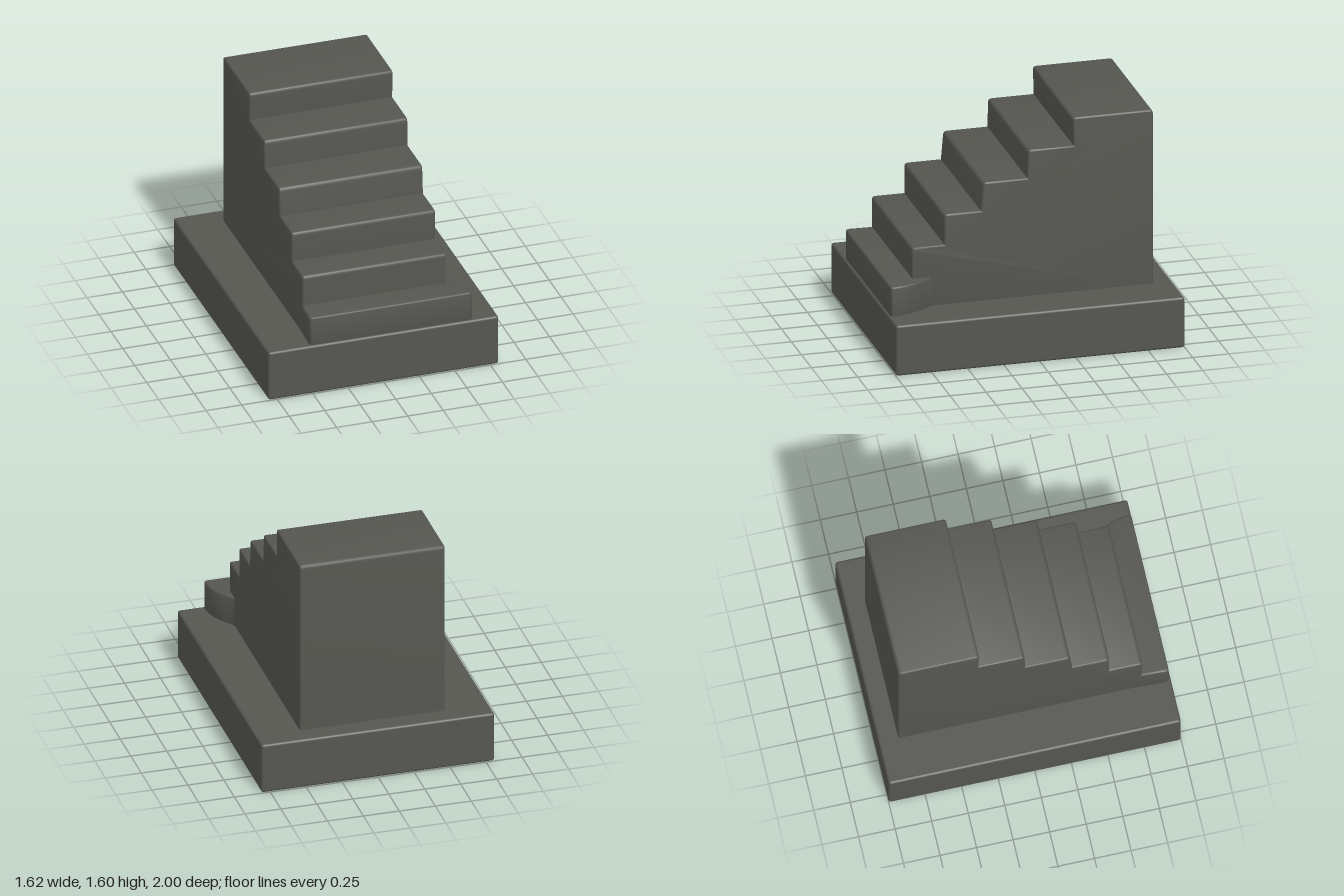
import * as THREE from 'three';
import { toCreasedNormals } from 'three/addons/utils/BufferGeometryUtils.js';
import { RoundedBoxGeometry } from 'three/addons/geometries/RoundedBoxGeometry.js';

// Closed outline whose corners are softened; each point is [x, y, radius]
function softOutline(points) {
  const shape = new THREE.Shape();
  const n = points.length;
  const toward = (a, b, r) => {
    const p = new THREE.Vector2(a[0], a[1]);
    const d = new THREE.Vector2(b[0], b[1]).sub(p).normalize();
    return p.addScaledVector(d, r);
  };
  points.forEach((p, i) => {
    const start = toward(p, points[(i + n - 1) % n], p[2]);
    const end = toward(p, points[(i + 1) % n], p[2]);
    if (i === 0) shape.moveTo(start.x, start.y);
    else shape.lineTo(start.x, start.y);
    if (p[2] > 0) shape.quadraticCurveTo(p[0], p[1], end.x, end.y);
  });
  shape.closePath();
  return shape;
}

// Extrusion with small rounded edges kept inside the outline
function softExtrude(shape, length) {
  const bevel = 0.012;
  const geometry = new THREE.ExtrudeGeometry(shape, {
    depth: length - 2 * bevel, bevelEnabled: true, bevelThickness: bevel,
    bevelSize: bevel, bevelOffset: -bevel, bevelSegments: 3, curveSegments: 4,
  });
  geometry.translate(0, 0, bevel);
  return toCreasedNormals(geometry, 0.65);
}

export function createModel() {
  const group = new THREE.Group();
  const stone = new THREE.MeshStandardMaterial({ color: 0x555650 });
  stone.name = 'dark grey stone';
  const add = (name, geometry) => {
    const mesh = new THREE.Mesh(geometry, stone);
    mesh.name = name;
    group.add(mesh);
    return mesh;
  };

  // Plinth
  add('basePlinth', new RoundedBoxGeometry(1.62, 0.36, 2, 3, 0.018)).position.y = 0.18;

  // Stair block: side outline drawn as (z, y), extruded across the width
  const steps = [ // riser bottom z, riser top z, tread height
    [0.8, 0.805, 0.785], [0.58, 0.58, 1.0], [0.327, 0.31, 1.2],
    [0.005, 0.0, 1.4], [-0.315, -0.31, 1.6],
  ];
  const side = [[-0.865, 0.33, 0], [0.8, 0.33, 0]];
  steps.forEach(([zLow, zHigh, y], i) => {
    if (i > 0) side.push([zLow, steps[i - 1][2], 0]);
    side.push([zHigh, y, 0.025]);
  });
  side.push([-0.865, 1.6, 0.025]);
  const stairs = softExtrude(softOutline(side), 1.01);
  stairs.rotateY(-Math.PI / 2);
  stairs.translate(0.505, 0, 0);
  add('stairBlock', stairs);

  // Bottom step: plan outline as (x, z), sweeping out on the left side
  const plan = softOutline([
    [-0.5, 0.62, 0], [0.49, 0.62, 0], [0.51, 0.69, 0.03], [0.575, 0.77, 0.04],
    [0.615, 0.86, 0.04], [0.635, 0.985, 0.03], [-0.515, 0.985, 0.03],
  ]);
  const bottomStep = softExtrude(plan, 0.235);
  bottomStep.rotateX(Math.PI / 2);
  bottomStep.translate(0, 0.565, 0);
  add('bottomStep', bottomStep);

  return group;
}
